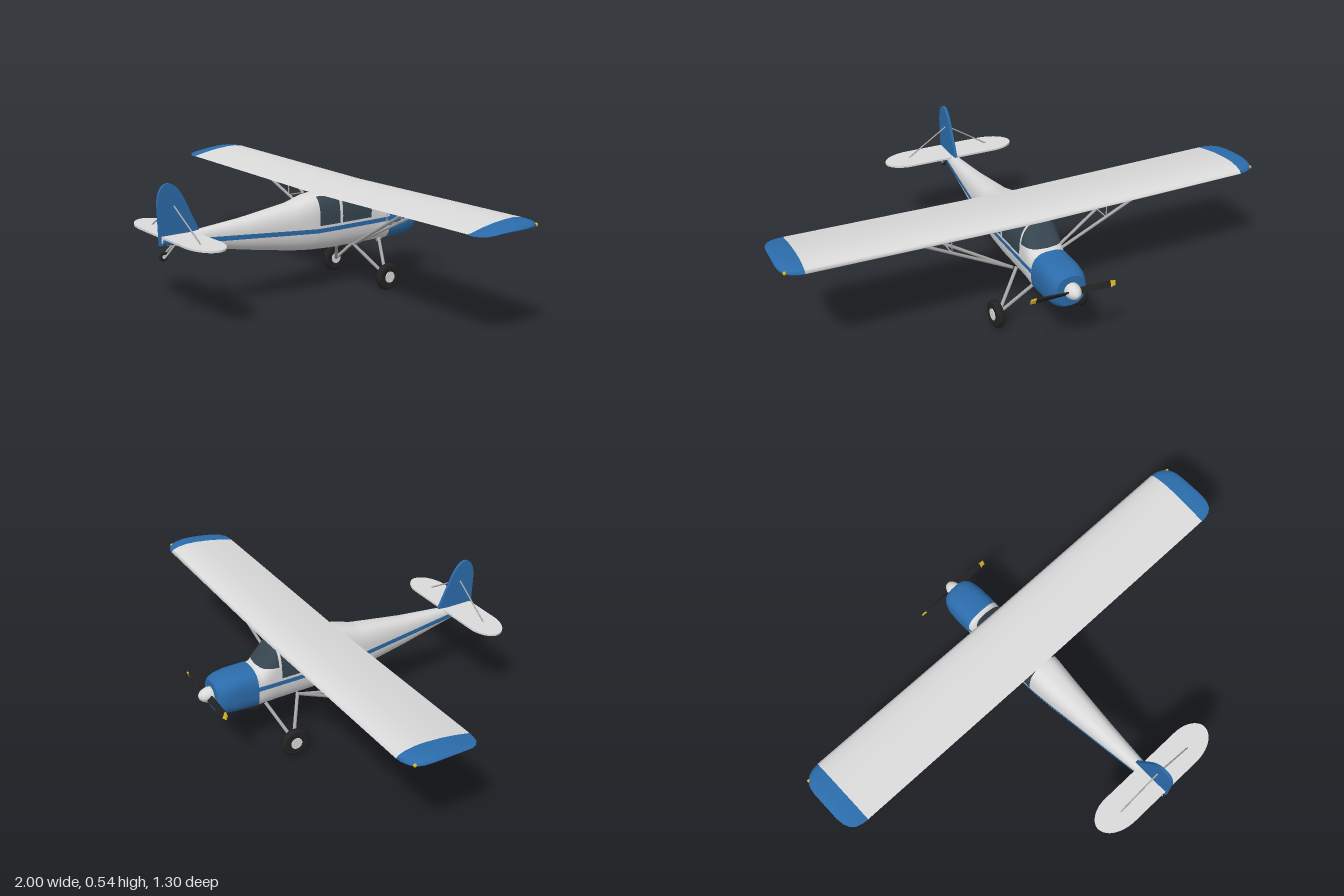
import * as THREE from 'three';

const mat = (name, color, side = THREE.FrontSide) => {
  const m = new THREE.MeshStandardMaterial({ color, side });
  m.name = name;
  return m;
};
const V = (x, y, z) => new THREE.Vector3(x, y, z);

// Surface through rows of points; normals face row direction x column direction
function grid(rows, closed = false) {
  const n = rows[0].length, pos = [], idx = [];
  rows.forEach(r => r.forEach(p => pos.push(p.x, p.y, p.z)));
  for (let i = 0; i < rows.length - 1; i++) {
    for (let j = 0; j < (closed ? n : n - 1); j++) {
      const k = (j + 1) % n, a = i * n + j, b = i * n + k, c = a + n, d = b + n;
      idx.push(a, c, b, b, c, d);
    }
  }
  const g = new THREE.BufferGeometry();
  g.setAttribute('position', new THREE.Float32BufferAttribute(pos, 3));
  g.setIndex(idx);
  g.computeVertexNormals();
  return g;
}

// Body stations: z, bottom, top, half width, squareness
const BODY = [
  [0.635, 0.308, 0.335, 0.008, 2], [0.5, 0.28, 0.343, 0.025, 2.2], [0.28, 0.234, 0.361, 0.046, 2.4],
  [0.05, 0.194, 0.391, 0.068, 2.6], [-0.04, 0.184, 0.415, 0.075, 2.8], [-0.15, 0.177, 0.428, 0.078, 2.8],
  [-0.34, 0.176, 0.424, 0.078, 2.8], [-0.41, 0.178, 0.343, 0.078, 2.8], [-0.432, 0.179, 0.342, 0.078, 2.8],
];
const COWL = [
  [-0.43, 0.177, 0.345, 0.08, 2.8], [-0.52, 0.181, 0.344, 0.08, 2.8], [-0.565, 0.186, 0.338, 0.075, 2.7],
  [-0.588, 0.193, 0.331, 0.067, 2.6], [-0.597, 0.201, 0.324, 0.058, 2.5],
];
const COWL_FACE = [[-0.597, 0.201, 0.324, 0.058, 2.5], [-0.599, 0.262, 0.264, 0.001, 2.5]];

// Interpolated section at z
function section(st, z) {
  let i = 0;
  while (i < st.length - 2 && z < st[i + 1][0]) i++;
  const t = (z - st[i][0]) / (st[i + 1][0] - st[i][0]);
  const [, bot, top, w, n] = st[i].map((v, k) => v + (st[i + 1][k] - v) * t);
  return { yc: (bot + top) / 2, h: (top - bot) / 2, w, n };
}
function skinPoint(st, z, th, off = 0) {
  const { yc, h, w, n } = section(st, z), pw = v => Math.sign(v) * Math.abs(v) ** (2 / n);
  return V((w + off) * pw(Math.cos(th)), yc + (h + off) * pw(Math.sin(th)), z);
}
function angleAt(z, y) {
  const { yc, h, n } = section(BODY, z), u = THREE.MathUtils.clamp((y - yc) / h, -1, 1);
  return Math.asin(Math.sign(u) * Math.abs(u) ** (n / 2));
}
function loft(st, steps) {
  const z0 = st[0][0], z1 = st[st.length - 1][0], rows = [];
  for (let i = 0; i <= steps; i++) {
    const z = z0 + (z1 - z0) * i / steps;
    rows.push(Array.from({ length: 48 }, (_, j) => skinPoint(st, z, j / 48 * Math.PI * 2)));
  }
  return grid(rows, true);
}
// Thin painted patch lying on the body between two angles
function patch(z0, z1, lo, hi, steps = 12, cols = 10) {
  const rows = [];
  for (let i = 0; i <= steps; i++) {
    const z = z0 + (z1 - z0) * i / steps, a = lo(z), b = hi(z);
    rows.push(Array.from({ length: cols + 1 }, (_, j) => skinPoint(BODY, z, a + (b - a) * j / cols, 0.0025)));
  }
  return grid(rows);
}

// Wing section: chord fraction and height, trailing edge over the top and back
const FOIL = [[1, 0.003], [0.8, 0.016], [0.6, 0.026], [0.4, 0.032], [0.25, 0.033], [0.12, 0.028], [0.04, 0.02],
  [0, 0.01], [0.03, 0.003], [0.15, 0], [0.5, 0], [1, 0]];
const foilRow = ([x, le, te, s]) => FOIL.map(([c, y]) =>
  V(x, 0.42 + 0.014 * Math.abs(x) + 0.012 * (1 - s) + y * s, le + (te - le) * c));

export function createModel() {
  const white = mat('white paint', 0xdadada), blue = mat('blue paint', 0x2b6cab, THREE.DoubleSide);
  const glass = mat('dark glass', 0x36454f, THREE.DoubleSide), steel = mat('grey steel', 0xa6a6a6);
  const black = mat('black rubber', 0x222222), yellow = mat('yellow paint', 0xd9b526);
  const model = new THREE.Group();
  model.name = 'highWingAirplane';
  const add = (name, geo, m, parent = model) => {
    const mesh = new THREE.Mesh(geo, m);
    mesh.name = name;
    parent.add(mesh);
    return mesh;
  };
  const rod = (name, a, b, r, m = steel) => {
    const d = b.clone().sub(a);
    const mesh = add(name, new THREE.CylinderGeometry(r, r, d.length(), 10), m);
    mesh.position.copy(a).addScaledVector(d, 0.5);
    mesh.quaternion.setFromUnitVectors(V(0, 1, 0), d.normalize());
  };

  // Fuselage and engine cowl
  add('fuselage', loft(BODY, 120), white);
  add('cowl', loft(COWL, 32), blue);
  add('cowlFace', loft(COWL_FACE, 1), blue);

  // Side stripes, windows and windscreen
  const stripeY = z => 0.274 + 0.044 * Math.max(0, (z + 0.05) / 0.685);
  const sidePatch = (name, z0, z1, yLo, yHi, m, steps) => {
    const lo = z => angleAt(z, yLo(z)), hi = z => angleAt(z, yHi(z));
    add(name + 'Left', patch(z0, z1, lo, hi, steps), m);
    add(name + 'Right', patch(z0, z1, z => Math.PI - hi(z), z => Math.PI - lo(z), steps), m);
  };
  sidePatch('stripe', 0.63, -0.431, z => stripeY(z) - 0.009, z => stripeY(z) + 0.009, blue, 80);
  sidePatch('rearWindow', -0.06, -0.16, () => 0.294, () => 0.409, glass);
  sidePatch('doorWindow', -0.175, -0.328, () => 0.294, () => 0.409, glass);
  const sill = z => angleAt(z, 0.345);
  add('windscreen', patch(-0.339, -0.409, sill, z => Math.PI - sill(z), 16, 32), glass);

  // Wing with blue rounded tips
  const root = [0.915, -0.356, -0.058, 1];
  add('wing', grid([-0.915, 0, 0.915].map(x => foilRow([x, -0.356, -0.058, 1]))), white);
  const tip = [root, [0.94, -0.353, -0.06, 0.97], [0.965, -0.343, -0.067, 0.9], [0.984, -0.326, -0.083, 0.75],
    [0.995, -0.303, -0.106, 0.5], [1, -0.27, -0.14, 0.15]];
  add('wingTipLeft', grid(tip.map(foilRow)), blue);
  add('wingTipRight', grid(tip.map(([x, ...r]) => foilRow([-x, ...r])).reverse()), blue);

  // Fin and tailplane
  const fin = new THREE.Shape();
  fin.moveTo(-0.465, 0.335);
  fin.lineTo(-0.527, 0.465);
  fin.bezierCurveTo(-0.55, 0.515, -0.575, 0.54, -0.6, 0.54);
  fin.bezierCurveTo(-0.63, 0.54, -0.646, 0.5, -0.646, 0.46);
  fin.lineTo(-0.641, 0.305);
  fin.lineTo(-0.6, 0.305);
  const finGeo = new THREE.ExtrudeGeometry(fin, { depth: 0.012, bevelEnabled: false, curveSegments: 16 });
  finGeo.translate(0, 0, -0.006).rotateY(Math.PI / 2);
  add('fin', finGeo, blue);
  const tail = new THREE.Shape();
  tail.moveTo(-0.2, 0.491);
  tail.lineTo(0.2, 0.491);
  tail.bezierCurveTo(0.26, 0.493, 0.298, 0.525, 0.298, 0.555);
  tail.bezierCurveTo(0.298, 0.6, 0.24, 0.634, 0.17, 0.634);
  tail.lineTo(-0.17, 0.634);
  tail.bezierCurveTo(-0.24, 0.634, -0.298, 0.6, -0.298, 0.555);
  tail.bezierCurveTo(-0.298, 0.525, -0.26, 0.493, -0.2, 0.491);
  const tailGeo = new THREE.ExtrudeGeometry(tail, { depth: 0.008, bevelEnabled: false, curveSegments: 16 });
  tailGeo.rotateX(Math.PI / 2).translate(0, 0.341, 0);
  add('tailplane', tailGeo, white);

  // Wheels
  const wheel = (name, x, y, z, s) => {
    const g = new THREE.Group();
    g.name = name;
    const tyre = [[0.022, -0.013], [0.045, -0.017], [0.053, -0.013], [0.057, -0.005], [0.057, 0.005],
      [0.053, 0.013], [0.045, 0.017], [0.022, 0.013]].map(p => new THREE.Vector2(...p));
    add('tyre', new THREE.LatheGeometry(tyre, 32), black, g);
    add('hub', new THREE.CylinderGeometry(0.024, 0.024, 0.032, 24), white, g);
    g.rotation.z = Math.PI / 2;
    g.position.set(x, y, z);
    g.scale.setScalar(s);
    model.add(g);
  };

  for (const s of [1, -1]) {
    // Wing struts with short jury struts
    const foot = V(s * 0.07, 0.19, -0.248);
    for (const z of [-0.157, -0.286]) {
      const top = V(s * 0.51, 0.43, z), mid = foot.clone().lerp(top, 0.6);
      rod('wingStrut', foot, top, 0.0065);
      rod('juryStrut', mid, V(mid.x, 0.43, mid.z), 0.0025);
    }
    rod('juryCrossbar', foot.clone().lerp(V(s * 0.51, 0.43, -0.157), 0.6),
      foot.clone().lerp(V(s * 0.51, 0.43, -0.286), 0.6), 0.0025);
    // Main landing gear
    const axle = V(s * 0.17, 0.057, -0.335);
    rod('gearLegRear', V(s * 0.052, 0.188, -0.248), axle, 0.007);
    rod('gearLegFront', V(s * 0.052, 0.188, -0.393), axle, 0.007);
    wheel('mainWheel', s * 0.183, 0.057, -0.335, 1);
    // Tail bracing wires
    const brace = V(s * 0.19, 0.337, 0.57);
    rod('upperTailWire', V(0, 0.455, 0.577), brace, 0.003);
    rod('lowerTailWire', V(0, 0.296, 0.565), brace, 0.003);
    // Wing tip light
    const light = add('tipLight', new THREE.SphereGeometry(0.007, 10, 8), yellow);
    light.position.set(s * 0.981, 0.445, -0.326);
  }

  // Tail wheel on its spring, and exhaust pipe
  for (const x of [-0.011, 0.011]) rod('tailWheelFork', V(x * 0.6, 0.305, 0.575), V(x, 0.261, 0.622), 0.004);
  wheel('tailWheel', 0, 0.261, 0.624, 0.33);
  rod('exhaustPipe', V(0.025, 0.19, -0.45), V(0.025, 0.168, -0.405), 0.007);

  // Propeller and spinner
  const prop = new THREE.Group();
  prop.name = 'propeller';
  prop.position.set(0, 0.269, -0.617);
  prop.rotation.z = 0.03;
  model.add(prop);
  const blade = (name, x0, x1, m, turn) => {
    const g = new THREE.BoxGeometry(x1 - x0, 0.026, 0.006, 8, 2, 1).translate((x0 + x1) / 2, 0, 0);
    const p = g.attributes.position;
    for (let i = 0; i < p.count; i++) {
      const x = p.getX(i), v = V(x, p.getY(i) * (x > 0.16 ? 0.75 : 1), p.getZ(i));
      v.applyAxisAngle(V(1, 0, 0), -0.85 + x * 3);
      p.setXYZ(i, v.x, v.y, v.z);
    }
    g.computeVertexNormals();
    add(name, g, m, prop).rotation.z = turn;
  };
  for (const turn of [0, Math.PI]) {
    blade('blade', 0.01, 0.155, black, turn);
    blade('bladeTip', 0.155, 0.175, yellow, turn);
  }
  const nose = [[0.03, -0.02], [0.031, -0.006], [0.028, 0.008], [0.022, 0.021], [0.012, 0.031], [0, 0.035]];
  const spinner = add('spinner', new THREE.LatheGeometry(nose.map(p => new THREE.Vector2(...p)), 24), white, prop);
  spinner.rotation.x = -Math.PI / 2;
  return model;
}
